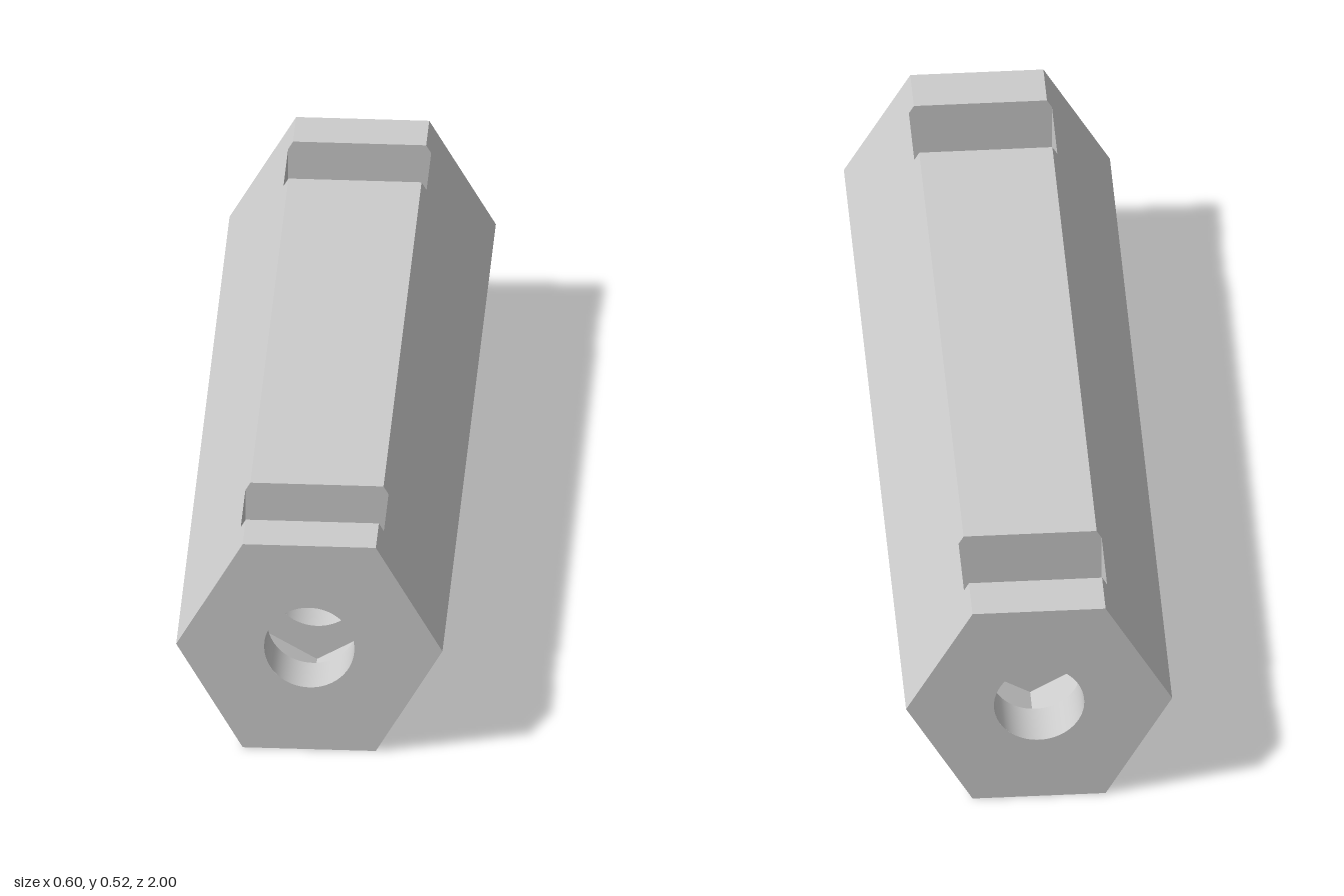
import * as THREE from 'three';
import { mergeGeometries } from 'three/addons/utils/BufferGeometryUtils.js';

const R = 0.2975;                       // hexagon corner radius
const H = R * Math.sqrt(3);             // height across flats
const CY = H / 2;                       // bore axis height
const BORE = 0.101;
const SEG = 64;
const HALF = 1;                         // half length
const Z0 = 0.712, Z1 = 0.885;           // slot span, mirrored front and back
const W = 0.16;                         // slot half width
const SLOT_TOP = H - (W - R / 2) * Math.sqrt(3);
const NUT_R = W / Math.cos(Math.PI / 6);

const toShape = (pts) => new THREE.Shape(pts.map(([x, y]) => new THREE.Vector2(x, y)));

// Cross-section face with the bore cut out, facing +z or -z
function sectionFace(pts, z, facing) {
  const shape = toShape(pts);
  shape.holes.push(new THREE.Path().absarc(0, CY, BORE, 0, Math.PI * 2, true));
  const geo = new THREE.ShapeGeometry(shape, SEG);
  if (facing < 0) geo.rotateY(Math.PI);
  return geo.translate(0, 0, z);
}

// Flat panel standing on the section edge a-b; outline is in (along edge, z)
function panel(a, b, outline) {
  const dir = new THREE.Vector3(b[0] - a[0], b[1] - a[1], 0).normalize();
  const zAxis = new THREE.Vector3(0, 0, 1);
  const m = new THREE.Matrix4().makeBasis(dir, zAxis, dir.clone().cross(zAxis));
  m.setPosition(a[0], a[1], 0);
  return new THREE.ShapeGeometry(toShape(outline)).applyMatrix4(m);
}

function strip(a, b, z0, z1) {
  const len = Math.hypot(b[0] - a[0], b[1] - a[1]);
  return panel(a, b, [[0, z0], [len, z0], [len, z1], [0, z1]]);
}

export function createModel() {
  const group = new THREE.Group();
  const material = new THREE.MeshStandardMaterial({ color: 0xcccccc });
  const insideMaterial = new THREE.MeshStandardMaterial({ color: 0xcccccc, side: THREE.BackSide });
  const add = (name, geo, mat = material) => {
    const mesh = new THREE.Mesh(geo, mat);
    mesh.name = name;
    group.add(mesh);
  };

  // Hexagonal body, corners counter-clockwise from +x
  const hex = [];
  for (let i = 0; i < 6; i++) {
    const t = (i * Math.PI) / 3;
    hex.push([R * Math.cos(t), CY + R * Math.sin(t)]);
  }
  const body = [sectionFace(hex, HALF, 1), sectionFace(hex, -HALF, -1)];

  // Upper slopes, notched along the top edge by the slots
  const n = (R - W) * 2;
  const notched = [
    [0, -HALF], [R, -HALF], [R, -Z1], [n, -Z1], [n, -Z0], [R, -Z0],
    [R, Z0], [n, Z0], [n, Z1], [R, Z1], [R, HALF], [0, HALF],
  ];
  body.push(panel(hex[0], hex[1], notched));
  body.push(panel(hex[2], hex[3], notched.map(([s, z]) => [R - s, z])));

  // Top face, broken by the slots
  for (const [a, b] of [[-HALF, -Z1], [-Z0, Z0], [Z1, HALF]]) {
    body.push(strip(hex[1], hex[2], a, b));
  }
  // Lower slopes and underside
  for (let i = 3; i < 6; i++) body.push(strip(hex[i], hex[(i + 1) % 6], -HALF, HALF));
  add('hexBody', mergeGeometries(body));

  // Nut slots: V floor, straight sides, and end walls pierced by the bore
  const trough = [
    [W, SLOT_TOP], [W, CY - NUT_R / 2], [0, CY - NUT_R], [-W, CY - NUT_R / 2], [-W, SLOT_TOP],
  ];
  const wall = [...trough, [-R / 2, H], [R / 2, H]];
  for (const side of [1, -1]) {
    const parts = [sectionFace(wall, side * Z0, side), sectionFace(wall, side * Z1, -side)];
    const lo = Math.min(side * Z0, side * Z1), hi = Math.max(side * Z0, side * Z1);
    for (let i = 0; i < 4; i++) parts.push(strip(trough[i], trough[i + 1], lo, hi));
    add(side > 0 ? 'frontNutSlot' : 'backNutSlot', mergeGeometries(parts));
  }

  // Bore walls between the ends and slots
  for (const [name, a, b] of [
    ['backBore', -HALF, -Z1], ['middleBore', -Z0, Z0], ['frontBore', Z1, HALF],
  ]) {
    const geo = new THREE.CylinderGeometry(BORE, BORE, b - a, SEG, 1, true);
    geo.rotateX(Math.PI / 2).translate(0, CY, (a + b) / 2);
    add(name, geo, insideMaterial);
  }
  return group;
}
